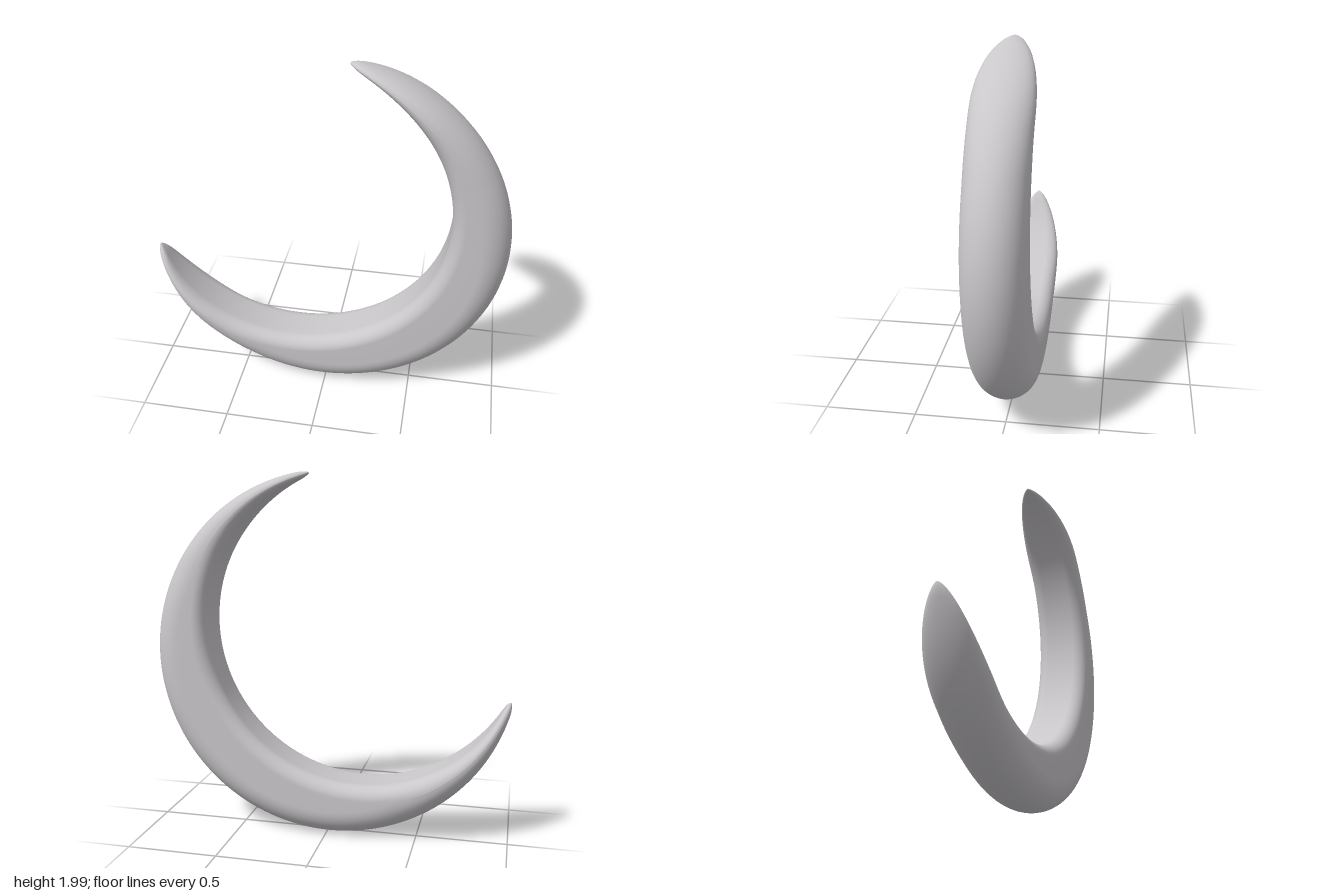
import * as THREE from 'three';

const R = 1.005, CX = -0.018, CY = 1.007;   // outer arc
const r = 0.86, DX = -0.172, DY = 0.163;    // inner arc, offset from the outer centre
const HALF = 0.155;                         // half thickness
const MID = -42.7, SPAN = 125.3;            // middle of the arc and half its sweep, degrees
const N = 160, Q = 10;

// Closed cross-section: [distance inward from the outer edge, z]
function section(w, h) {
  const ro = Math.min(0.155, 0.62 * w), ri = Math.min(0.075, 0.38 * w), bz = Math.min(0.075, 0.5 * h);
  const side = [];
  for (let k = 0; k <= Q; k++) { // full round on the outer edge
    const t = (k / Q) * Math.PI / 2;
    side.push([ro * (1 - Math.cos(t)), h * Math.sin(t)]);
  }
  for (let k = 0; k <= Q; k++) { // small round on the inner edge
    const t = (k / Q) * Math.PI / 2;
    side.push([w - ri * (1 - Math.sin(t)), h - bz * (1 - Math.cos(t))]);
  }
  const back = side.slice(1).reverse().map(([u, z]) => [u, -z]);
  return [...side, ...back];
}

function crescentGeometry() {
  const pos = [], index = [];
  let M = 0;
  for (let i = 0; i <= N; i++) {
    const off = -SPAN * Math.cos(Math.PI * i / N);
    const a = THREE.MathUtils.degToRad(MID + off);
    const nx = Math.cos(a), ny = Math.sin(a);
    const dn = DX * nx + DY * ny;
    const full = R - (dn + Math.sqrt(r * r - DX * DX - DY * DY + dn * dn));
    // taper thickness along the horns and round off the very tips
    const fromTip = Math.max(0, SPAN - Math.abs(off));
    const s = Math.min(1, fromTip / 31.5), k = Math.min(1, fromTip / 4);
    const h = HALF * Math.pow(1 - (1 - s) ** 2, 0.68);
    const w = full * Math.sqrt(1 - (1 - k) ** 2);
    const start = R - (full - w) / 2;
    const loop = section(w, h);
    M = loop.length;
    for (const [u, z] of loop) pos.push(CX + (start - u) * nx, CY + (start - u) * ny, z);
  }
  for (let i = 0; i < N; i++) {
    for (let j = 0; j < M; j++) {
      const a = i * M + j, b = i * M + (j + 1) % M;
      index.push(a, a + M, b, b, a + M, b + M);
    }
  }
  const g = new THREE.BufferGeometry();
  g.setAttribute('position', new THREE.Float32BufferAttribute(pos, 3));
  g.setIndex(index);
  g.computeVertexNormals();
  return g;
}

export function createModel() {
  const group = new THREE.Group();
  group.name = 'crescentMoon';
  const paleGrey = new THREE.MeshStandardMaterial({ color: 0xcac7cb });
  paleGrey.name = 'paleGrey';
  const crescent = new THREE.Mesh(crescentGeometry(), paleGrey);
  crescent.name = 'crescent';
  group.add(crescent);
  return group;
}
